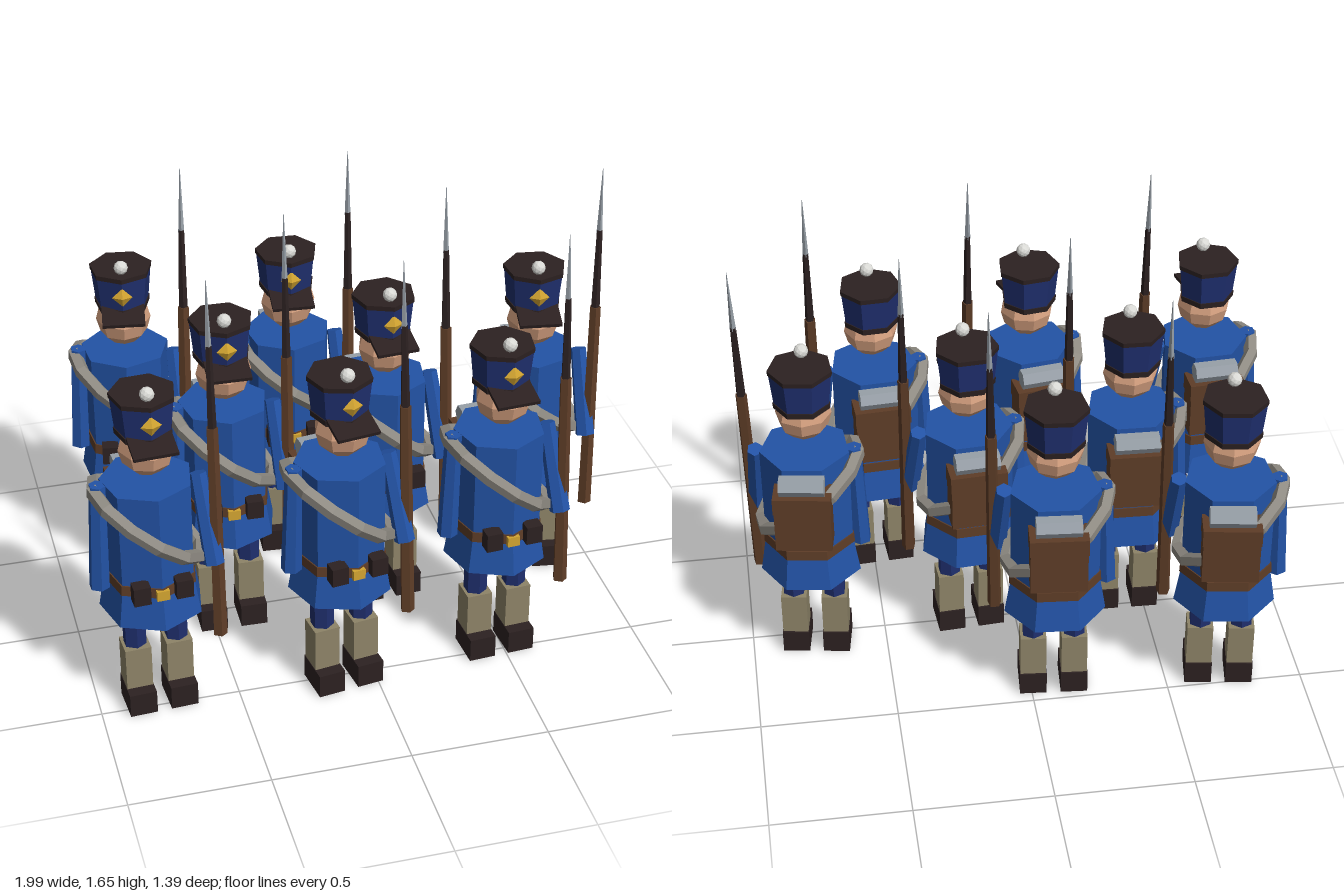
import * as THREE from 'three';

const paint = (name, color) => {
  const m = new THREE.MeshStandardMaterial({ color, flatShading: true });
  m.name = name;
  return m;
};
const coat = paint('coat blue', 0x2353a6);
const navy = paint('navy', 0x1f2f6e);
const black = paint('dark leather', 0x2c2121);
const beige = paint('gaiter beige', 0x8e8468);
const strap = paint('strap grey', 0x8f8b83);
const skin = paint('skin', 0xd6a180);
const brown = paint('brown', 0x5e3d27);
const gold = paint('gold', 0xd2a431);
const steel = paint('steel grey', 0x98a0a8);
const white = paint('pompon white', 0xdadad6);

const UP = new THREE.Vector3(0, 1, 0);

function add(group, name, geometry, material, x = 0, y = 0, z = 0) {
  const mesh = new THREE.Mesh(geometry, material);
  mesh.name = name;
  mesh.position.set(x, y, z);
  group.add(mesh);
  return mesh;
}

const box = (w, h, d) => new THREE.BoxGeometry(w, h, d);

// Upright seven-sided ring section from y0 to y1
function drum(group, name, material, r0, r1, y0, y1) {
  return add(group, name, new THREE.CylinderGeometry(r1, r0, y1 - y0, 7), material, 0, (y0 + y1) / 2, 0);
}

// Tapered rod between two points
function rod(group, name, material, from, to, r0, r1, sides) {
  const a = new THREE.Vector3(...from), b = new THREE.Vector3(...to);
  const dir = b.clone().sub(a);
  const mesh = add(group, name, new THREE.CylinderGeometry(r1, r0, dir.length(), sides), material);
  mesh.position.copy(a).add(b).multiplyScalar(0.5);
  mesh.quaternion.setFromUnitVectors(UP, dir.normalize());
  return mesh;
}

function makeHat() {
  const hat = new THREE.Group();
  hat.name = 'hat';
  drum(hat, 'hatBand', black, 0.102, 0.104, 1.108, 1.13);
  drum(hat, 'hatBody', navy, 0.1, 0.112, 1.13, 1.247);
  drum(hat, 'hatTop', black, 0.115, 0.116, 1.247, 1.265);
  add(hat, 'hatBrim', box(0.155, 0.014, 0.11), black, 0, 1.117, 0.112).rotation.x = 0.25;
  add(hat, 'hatBadge', new THREE.OctahedronGeometry(0.037), gold, 0, 1.19, 0.108).scale.z = 0.45;
  add(hat, 'pompon', new THREE.IcosahedronGeometry(0.026, 1), white, 0, 1.29, 0.065);
  return hat;
}

function makeMusket() {
  const musket = new THREE.Group();
  musket.name = 'musket';
  // Points along the leaning line of the weapon
  const at = y => {
    const t = (y - 0.305) / 1.34;
    return [0.208 + 0.02 * t, y, 0.125 - 0.12 * t];
  };
  rod(musket, 'musketStock', brown, at(0.305), at(1.11), 0.026, 0.021, 5);
  rod(musket, 'musketBarrel', black, at(1.1), at(1.41), 0.017, 0.011, 5);
  rod(musket, 'bayonet', steel, at(1.4), at(1.645), 0.011, 0.001, 4);
  return musket;
}

function makeSoldier() {
  const s = new THREE.Group();
  s.name = 'soldier';

  // Legs, gaiters and shoes
  for (const [side, x] of [['left', 0.075], ['right', -0.075]]) {
    add(s, side + 'Leg', new THREE.CylinderGeometry(0.044, 0.042, 0.26, 6), navy, x, 0.34, 0.015);
    add(s, side + 'Gaiter', box(0.094, 0.168, 0.094), beige, x, 0.171, 0.018);
    add(s, side + 'Shoe', box(0.098, 0.09, 0.145), black, x, 0.045, 0.037);
  }

  // Coat, belt and pouches
  drum(s, 'coatSkirt', coat, 0.186, 0.162, 0.405, 0.55);
  drum(s, 'coatBody', coat, 0.162, 0.163, 0.55, 0.927);
  drum(s, 'belt', brown, 0.169, 0.167, 0.53, 0.568);
  add(s, 'beltBuckle', box(0.045, 0.038, 0.018), gold, 0, 0.545, 0.165);
  for (const x of [-0.075, 0.075])
    add(s, 'pouch', box(0.06, 0.07, 0.05), black, x, 0.562, 0.157);

  // Shoulder strap looping from the right shoulder to the left hip
  const loop = new THREE.TorusGeometry(0.232, 0.028, 5, 12);
  loop.rotateX(Math.PI / 2);
  loop.scale(1, 1, 0.82);
  add(s, 'shoulderStrap', loop, strap, -0.008, 0.755, 0).rotation.z = -0.69;

  // Arms: one hanging, one holding the musket
  rod(s, 'rightArm', coat, [-0.185, 0.512, 0], [-0.172, 0.927, 0], 0.037, 0.03, 6);
  rod(s, 'leftArm', coat, [0.198, 0.6, 0.115], [0.178, 0.91, 0.005], 0.037, 0.03, 6);

  // Backpack with a rolled blanket
  add(s, 'backpack', box(0.2, 0.16, 0.095), brown, 0, 0.706, -0.17);
  add(s, 'backpackLid', box(0.206, 0.064, 0.101), brown, 0, 0.818, -0.17);
  add(s, 'blanketRoll', new THREE.CylinderGeometry(0.039, 0.039, 0.16, 6), steel, 0, 0.88, -0.175)
    .rotation.z = Math.PI / 2;

  // Head
  add(s, 'head', new THREE.SphereGeometry(0.1, 8, 6), skin, 0, 1.063, 0.022);
  s.add(makeHat(), makeMusket());
  return s;
}

export function createModel() {
  const model = new THREE.Group();
  model.name = 'soldierFormation';
  const soldier = makeSoldier();
  // x, z and turn of each soldier
  const places = [
    [-0.695, -0.462, -0.15], [-0.082, -0.43, -0.08],
    [-0.427, 0.012, -0.03], [0.174, -0.02, 0.07], [0.762, -0.075, -0.15],
    [-0.785, 0.426, 0.06], [-0.121, 0.481, 0.15], [0.473, 0.426, 0.07],
  ];
  for (const [x, z, turn] of places) {
    const copy = soldier.clone();
    copy.position.set(x, 0, z);
    copy.rotation.y = turn;
    model.add(copy);
  }
  return model;
}
